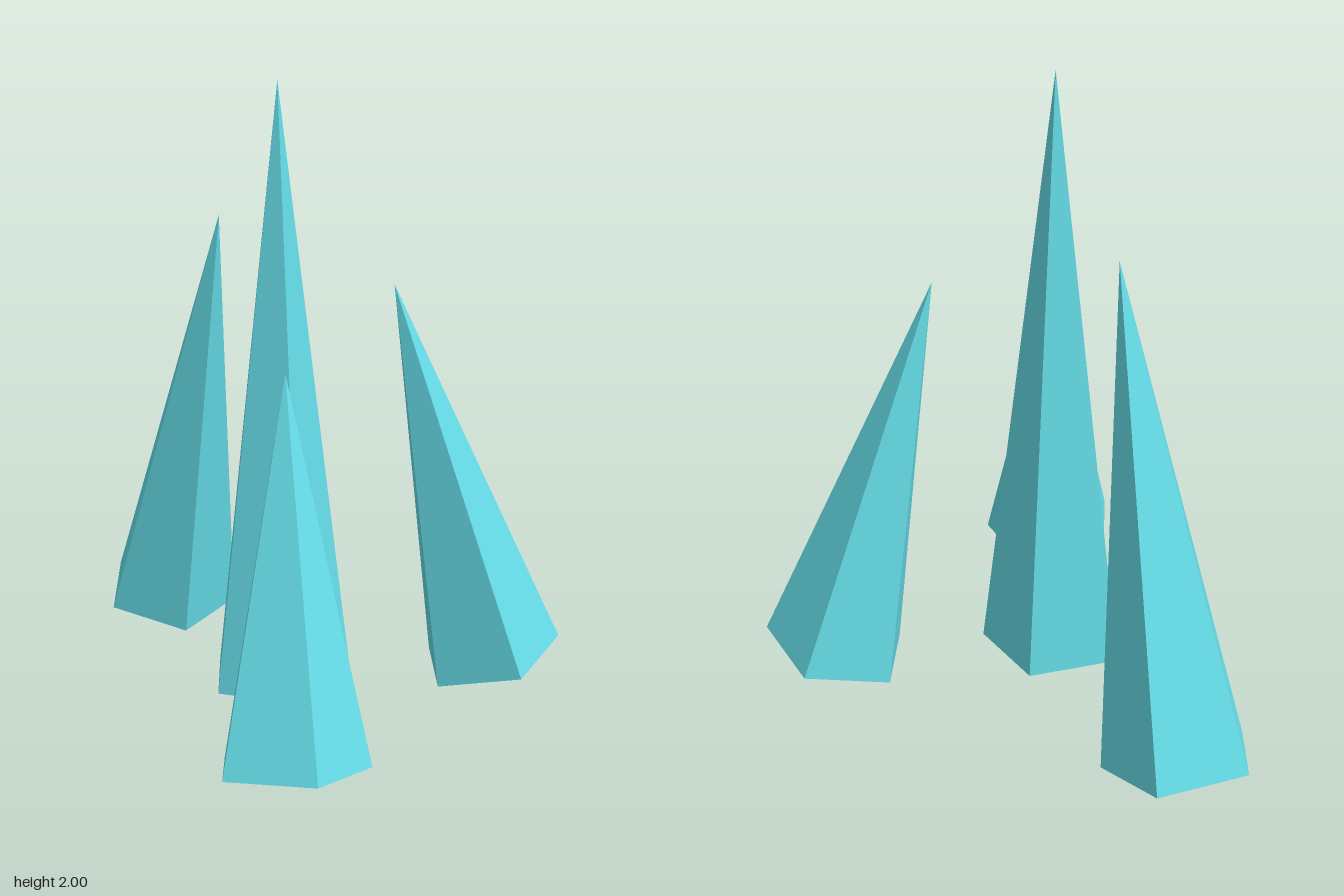
import * as THREE from 'three';

const RADIUS = 0.242;

// Each crystal: centre of its pentagonal base, and its tip
const CRYSTALS = [
  { name: 'centreCrystal', base: [-0.035, 0.045, -0.04], tip: [-0.035, 2.0, -0.04] },
  { name: 'frontCrystal', base: [0.2, 0.062, 0.589], tip: [0.1, 1.185, 0.315] },
  { name: 'leftCrystal', base: [0.617, 0.069, -0.365], tip: [0.3, 1.36, -0.205] },
  { name: 'rightCrystal', base: [-0.618, 0.073, -0.547], tip: [-0.31, 1.54, -0.275] },
];

// Five-sided spike leaning from base to tip, one corner pointing back
function makeCrystal({ name, base, tip }, material) {
  const from = new THREE.Vector3(...base);
  const axis = new THREE.Vector3(...tip).sub(from);
  const height = axis.length();
  const geometry = new THREE.ConeGeometry(RADIUS, height, 5, 1, false, Math.PI);
  geometry.translate(0, height / 2, 0);
  const mesh = new THREE.Mesh(geometry, material);
  mesh.name = name;
  mesh.position.copy(from);
  mesh.quaternion.setFromUnitVectors(new THREE.Vector3(0, 1, 0), axis.normalize());
  return mesh;
}

export function createModel() {
  const group = new THREE.Group();
  group.name = 'crystalCluster';
  const material = new THREE.MeshStandardMaterial({ color: 0x66dde8, flatShading: true });
  for (const crystal of CRYSTALS) group.add(makeCrystal(crystal, material));
  return group;
}
